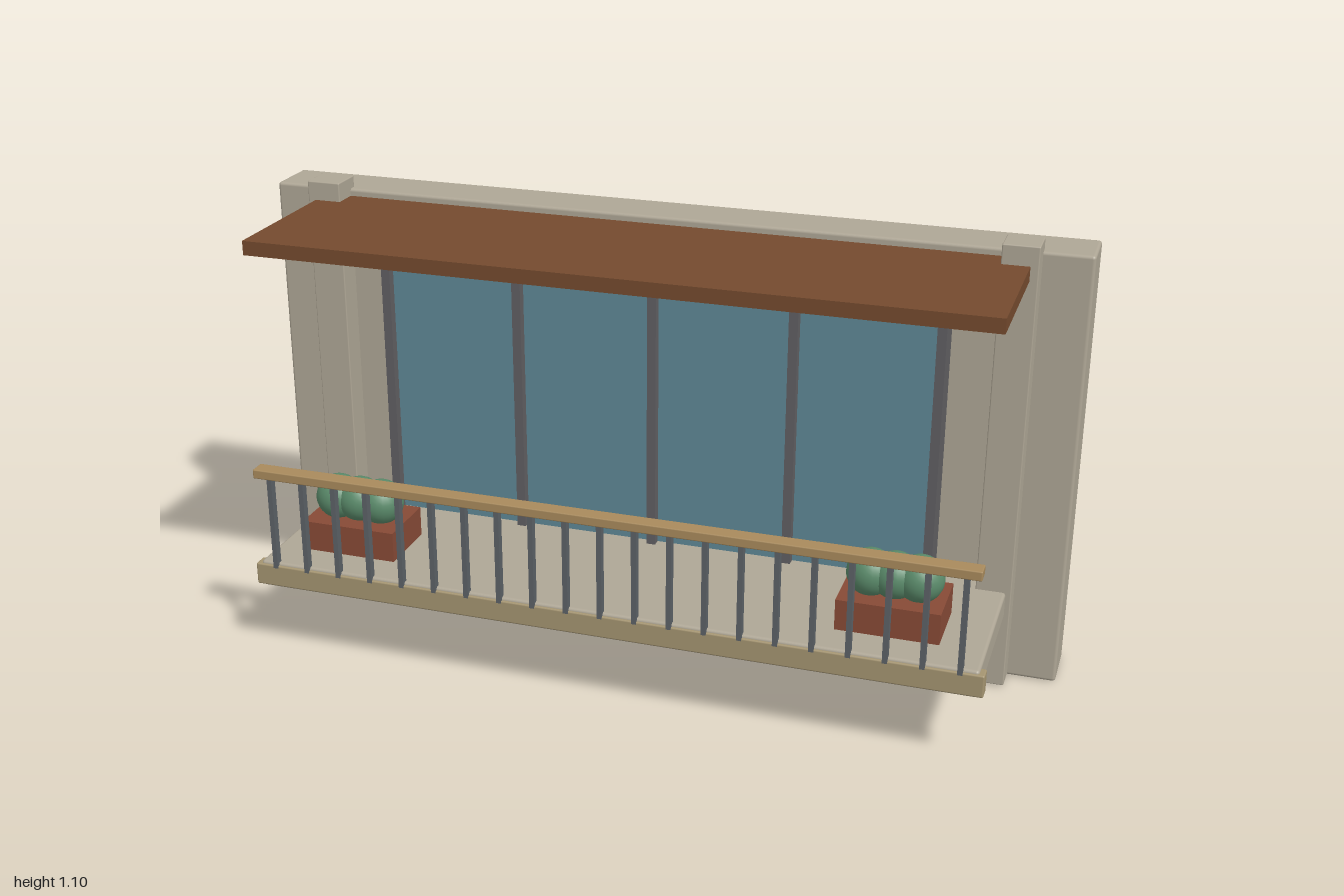
import * as THREE from 'three';
import { RoundedBoxGeometry } from 'three/addons/geometries/RoundedBoxGeometry.js';

const material = (name, color) => {
  const m = new THREE.MeshStandardMaterial({ color });
  m.name = name;
  return m;
};

export function createModel() {
  const model = new THREE.Group();
  model.name = 'balcony';

  const stone = material('stone', 0xaea695);
  const glass = material('glass', 0x5f8795);
  const frame = material('frameGrey', 0x605f62);
  const iron = material('iron', 0x5c6166);
  const wood = material('darkWood', 0x744a2e);
  const rail = material('railWood', 0xa88a5c);
  const trim = material('trim', 0xa49470);
  const clay = material('clay', 0x874a36);
  const leaf = material('leaf', 0x5a8a6a);

  // Box given by its limits on each axis, with an optional rounded edge
  const box = (name, mat, [x0, x1], [y0, y1], [z0, z1], r = 0, parent = model) => {
    const size = [x1 - x0, y1 - y0, z1 - z0];
    const geo = r ? new RoundedBoxGeometry(...size, 2, r) : new THREE.BoxGeometry(...size);
    const mesh = new THREE.Mesh(geo, mat);
    mesh.position.set((x0 + x1) / 2, (y0 + y1) / 2, (z0 + z1) / 2);
    mesh.name = name;
    parent.add(mesh);
    return mesh;
  };

  // Wall and the two pillars
  box('wall', stone, [-1, 1], [0.003, 1.07], [-0.302, -0.168], 0.008);
  for (const s of [-1, 1]) {
    const x = s * 0.843;
    box('pillar', stone, [x - 0.042, x + 0.042], [0.006, 1.098], [-0.19, -0.107], 0.003);
  }

  // Window: glass, five uprights and a header
  box('windowGlass', glass, [-0.69, 0.69], [0.1, 0.95], [-0.17, -0.12]);
  for (let i = -2; i <= 2; i++) {
    const x = i * 0.3425;
    box('windowUpright', frame, [x - 0.011, x + 0.011], [0.1, 0.94], [-0.171, -0.098]);
  }
  box('windowHeader', frame, [-0.705, 0.705], [0.93, 0.964], [-0.171, -0.09], 0.004);

  // Canopy
  box('canopy', wood, [-0.866, 0.866], [1.018, 1.052], [-0.172, 0.257]);

  // Balcony floor and its front edge
  box('balconyFloor', stone, [-0.872, 0.872], [0.186, 0.253], [-0.175, 0.283], 0.008);
  box('floorTrim', trim, [-0.884, 0.884], [0.191, 0.246], [0.252, 0.288], 0.004);

  // Railing
  for (let i = -10; i <= 10; i++) {
    const x = i * 0.083;
    box('baluster', iron, [x - 0.006, x + 0.006], [0.24, 0.485], [0.271, 0.289]);
  }
  box('handrail', rail, [-0.864, 0.864], [0.479, 0.502], [0.262, 0.302], 0.003);

  // Planters with three round shrubs each
  const ball = new THREE.SphereGeometry(0.055, 24, 16);
  for (const s of [-1, 1]) {
    const planter = new THREE.Group();
    planter.name = s > 0 ? 'leftPlanter' : 'rightPlanter';
    planter.position.x = s * 0.656;
    box('planterBox', clay, [-0.118, 0.118], [0.279, 0.353], [0.078, 0.239], 0, planter);
    for (let i = -1; i <= 1; i++) {
      const shrub = new THREE.Mesh(ball, leaf);
      shrub.name = 'shrub';
      shrub.position.set(i * 0.056, 0.397, 0.163);
      planter.add(shrub);
    }
    model.add(planter);
  }

  return model;
}
